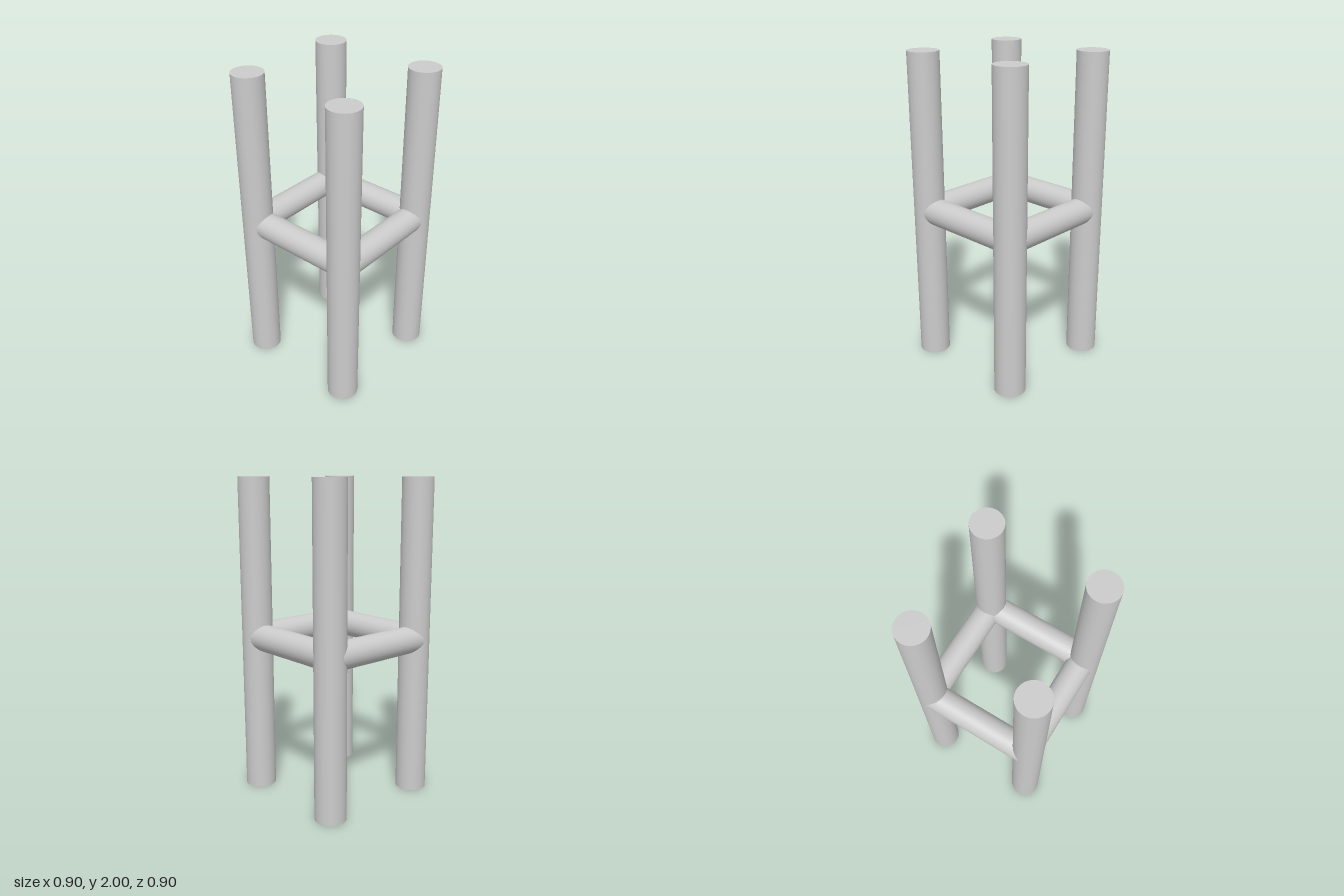
import * as THREE from 'three';

const POST_X = 0.352, POST_Z = 0.354, POST_R = 0.097, POST_H = 2;
const RAIL_R = 0.085, RAIL_LENGTH = 0.672, RAIL_Y = 1.003;

export function createModel() {
  const group = new THREE.Group();
  const material = new THREE.MeshStandardMaterial({ color: 0xcccccc });

  const add = (name, geometry, x, y, z) => {
    const mesh = new THREE.Mesh(geometry, material);
    mesh.name = name;
    mesh.position.set(x, y, z);
    group.add(mesh);
    return mesh;
  };

  // Four upright posts at the corners
  const postGeometry = new THREE.CylinderGeometry(POST_R, POST_R, POST_H, 48);
  for (const [sideName, sx] of [['Left', 1], ['Right', -1]]) {
    for (const [endName, sz] of [['front', 1], ['back', -1]]) {
      add(`${endName}${sideName}Post`, postGeometry, sx * POST_X, POST_H / 2, sz * POST_Z);
    }
  }

  // Four rails joining the posts at mid height, slightly off the post centres
  const railGeometry = new THREE.CylinderGeometry(RAIL_R, RAIL_R, RAIL_LENGTH, 48);
  for (const [name, z] of [['frontRail', 0.343], ['backRail', -0.355]]) {
    add(name, railGeometry, 0, RAIL_Y, z).rotation.z = Math.PI / 2;
  }
  for (const [name, x] of [['leftRail', 0.352], ['rightRail', -0.365]]) {
    add(name, railGeometry, x, RAIL_Y, 0).rotation.x = Math.PI / 2;
  }

  return group;
}
